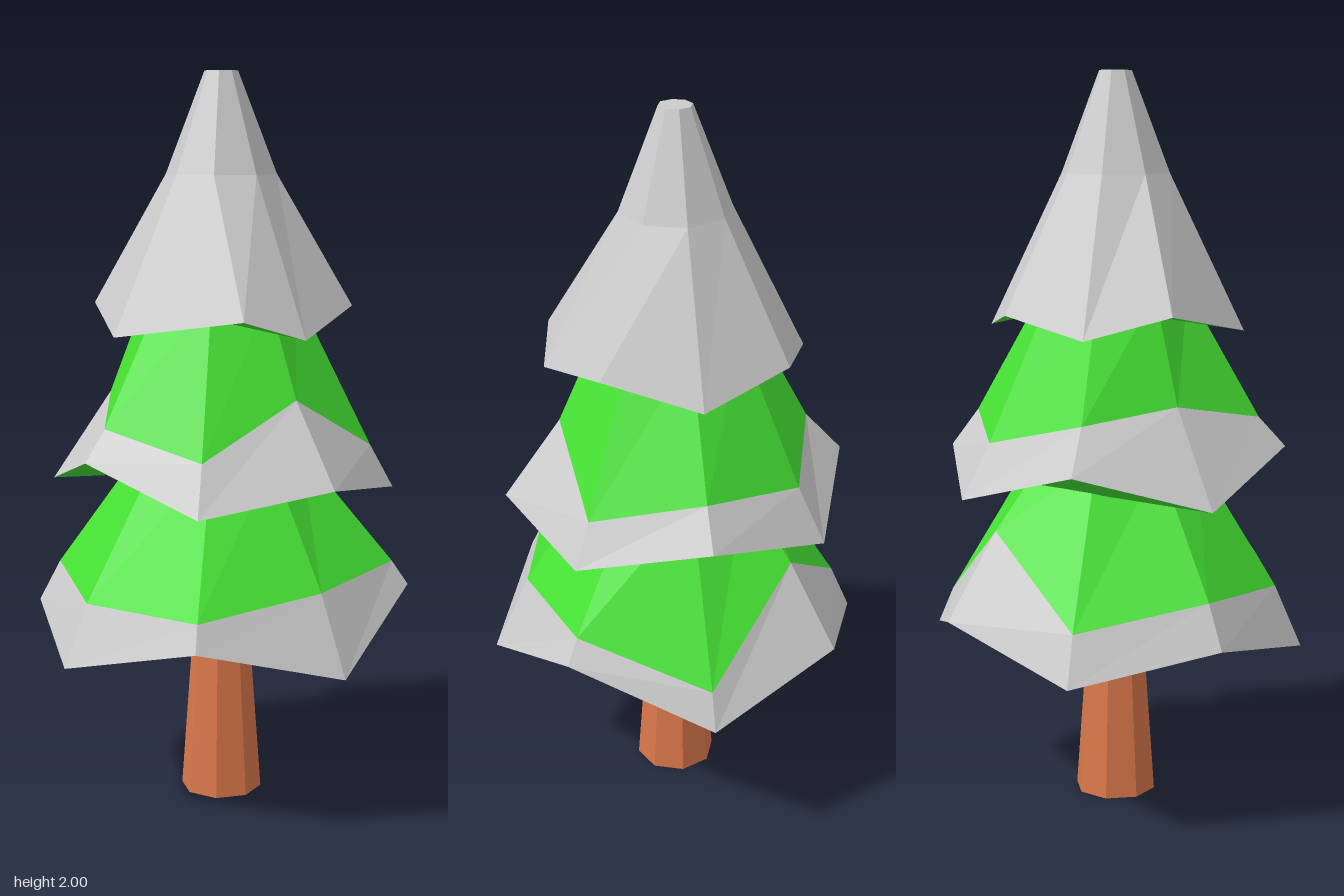
import * as THREE from 'three';

const SIDES = 8;
const material = (color) => new THREE.MeshStandardMaterial({ color, flatShading: true });

// A ring is 8 corners [radius, height, angle shift in degrees], from +x round through +z.
const even = (r, y) => Array.from({ length: SIDES }, () => [r, y]);

function corner([r, y, shift = 0], k) {
  const a = THREE.MathUtils.degToRad(k * 360 / SIDES + shift);
  return [r * Math.cos(a), y, r * Math.sin(a)];
}

// Skin a stack of rings with flat facets, facing outward for rings listed from the bottom up.
function loft(name, rings, mat) {
  const pos = [];
  for (let i = 0; i < rings.length - 1; i++) {
    for (let k = 0; k < SIDES; k++) {
      const n = (k + 1) % SIDES;
      const a = corner(rings[i][k], k), b = corner(rings[i][n], n);
      const c = corner(rings[i + 1][k], k), d = corner(rings[i + 1][n], n);
      pos.push(...a, ...c, ...b, ...b, ...c, ...d);
    }
  }
  const geo = new THREE.BufferGeometry();
  geo.setAttribute('position', new THREE.Float32BufferAttribute(pos, 3));
  geo.computeVertexNormals();
  const mesh = new THREE.Mesh(geo, mat);
  mesh.name = name;
  return mesh;
}

export function createModel() {
  const tree = new THREE.Group();
  tree.name = 'snowyTree';
  const bark = material(0xd9774a);
  const leaf = material(0x46e234);
  const snow = material(0xcccccc);

  // Trunk
  const trunk = new THREE.Mesh(new THREE.CylinderGeometry(0.077, 0.113, 0.5, SIDES), bark);
  trunk.position.y = 0.25;
  trunk.name = 'trunk';
  tree.add(trunk);

  // Each tier: underside rings, uneven drooping rim, snow line, rings above it
  const tiers = [
    {
      name: 'lowerTier',
      under: [even(0, 0.465), even(0.085, 0.465), even(0.27, 0.545)],
      rim: [[0.52, 0.61], [0.523, 0.45], [0.52, 0.55], [0.523, 0.45],
        [0.52, 0.53], [0.523, 0.45], [0.52, 0.56], [0.523, 0.45]],
      snowLine: [[0.475, 0.675], [0.425, 0.66], [0.485, 0.62], [0.45, 0.615],
        [0.46, 0.645], [0.467, 0.58], [0.375, 0.79], [0.48, 0.55]],
      top: [even(0.22, 0.98), even(0, 0.98)],
    },
    {
      name: 'middleTier',
      under: [even(0, 0.9), even(0.25, 0.9)],
      rim: [[0.473, 0.885], [0.473, 0.94], [0.473, 0.885], [0.468, 1.0, -3.5],
        [0.473, 0.885], [0.473, 0.985], [0.473, 0.885], [0.473, 0.972]],
      snowLine: [[0.41, 1.0], [0.318, 1.155], [0.395, 1.015], [0.396, 1.08, -2],
        [0.308, 1.135], [0.37, 1.1], [0.39, 1.03], [0.396, 1.075]],
      top: [even(0.2, 1.42), even(0, 1.42)],
    },
    {
      name: 'upperTier',
      under: [even(0, 1.36), even(0.2, 1.36)],
      rim: [[0.355, 1.38, -0.8], [0.354, 1.315], [0.36, 1.37, -16.2], [0.354, 1.315],
        [0.363, 1.375, 8], [0.354, 1.315], [0.345, 1.365, -1.6], [0.354, 1.315]],
      top: [even(0.15, 1.73), even(0.045, 2), even(0, 2)],
    },
  ];

  for (const { name, under, rim, snowLine, top } of tiers) {
    const tier = new THREE.Group();
    tier.name = name;
    tier.add(loft('underside', [...under, rim], leaf));
    if (snowLine) {
      tier.add(loft('snowEdge', [rim, snowLine], snow));
      tier.add(loft('foliage', [snowLine, ...top], leaf));
    } else {
      tier.add(loft('snowCap', [rim, ...top], snow));
    }
    tree.add(tier);
  }
  return tree;
}
